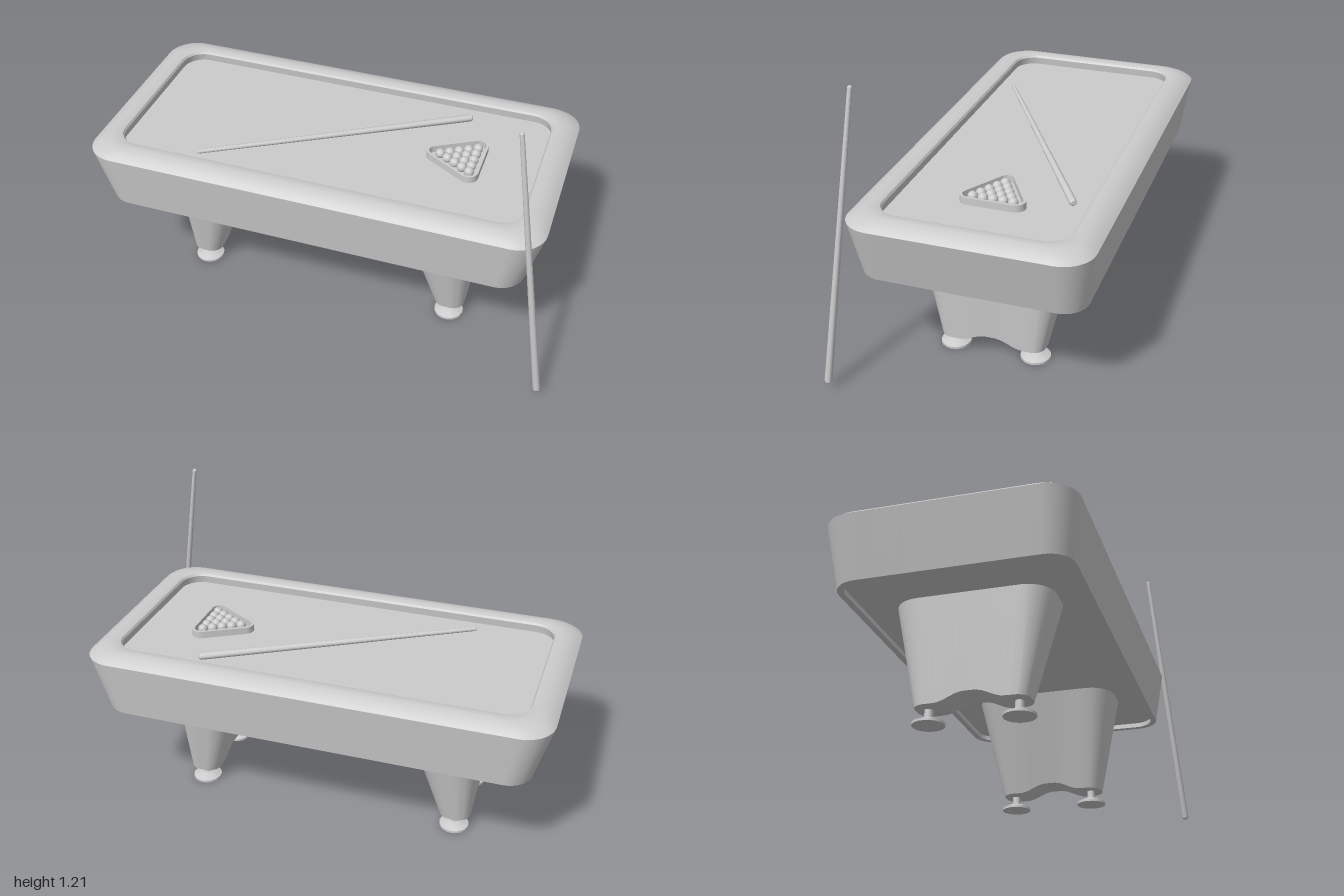
import * as THREE from 'three';
import { toCreasedNormals } from 'three/addons/utils/BufferGeometryUtils.js';

const MID = -0.0375; // table centre in x
const MIDZ = -0.034; // table centre in z
const BED = 0.682; // height of the playing surface
const material = new THREE.MeshStandardMaterial({ color: 0xcccccc });

function add(parent, name, geometry, x = 0, y = 0, z = 0) {
  const mesh = new THREE.Mesh(geometry, material);
  mesh.name = name;
  mesh.position.set(x, y, z);
  parent.add(mesh);
  return mesh;
}

// Points of a rounded rectangle, with extra points along its straight sides
function roundedRing(hx, hz, r, arc = 8, side = 14) {
  const points = [];
  const corners = [[1, 1], [-1, 1], [-1, -1], [1, -1]];
  corners.forEach(([sx, sz], c) => {
    for (let i = 0; i <= arc; i++) {
      const a = (c + i / arc) * Math.PI / 2;
      points.push([sx * (hx - r) + r * Math.cos(a), sz * (hz - r) + r * Math.sin(a)]);
    }
    const [nx, nz] = corners[(c + 1) % 4];
    const last = points[points.length - 1];
    const a = (c + 1) * Math.PI / 2;
    const next = [nx * (hx - r) + r * Math.cos(a), nz * (hz - r) + r * Math.sin(a)];
    for (let i = 1; i < side; i++) {
      const t = i / side;
      points.push([last[0] + (next[0] - last[0]) * t, last[1] + (next[1] - last[1]) * t]);
    }
  });
  return points;
}

// Skin over closed rings of [x, y, z] points
function loft(rings, crease = 0.5) {
  const n = rings[0].length;
  const index = [];
  for (let i = 0; i < rings.length - 1; i++) {
    for (let j = 0; j < n; j++) {
      const a = i * n + j, b = i * n + (j + 1) % n;
      index.push(a, a + n, b, b, a + n, b + n);
    }
  }
  const geometry = new THREE.BufferGeometry();
  geometry.setAttribute('position', new THREE.Float32BufferAttribute(rings.flat(2), 3));
  geometry.setIndex(index);
  return toCreasedNormals(geometry, crease);
}

// Cabinet, rail and bed as one profile: half x, half z, corner radius, height
function tableGeometry() {
  const profile = [
    [0, 0, 0, 0.475],
    [0.868, 0.423, 0.08, 0.475],
    [0.868, 0.423, 0.08, 0.455],
    [0.893, 0.448, 0.1, 0.455],
    [0.9625, 0.481, 0.125, 0.695],
    [0.947, 0.465, 0.12, 0.708],
    [0.925, 0.443, 0.115, 0.72],
    [0.9, 0.418, 0.11, 0.728],
    [0.875, 0.393, 0.1, 0.729],
    [0.858, 0.376, 0.095, 0.724],
    [0.852, 0.37, 0.09, 0.715],
    [0.856, 0.374, 0.09, BED],
    [0, 0, 0, BED],
  ];
  return loft(profile.map(([hx, hz, r, y]) => roundedRing(hx, hz, r).map(([x, z]) => [x, y, z])));
}

// Tapered leg, x measured from the table centre, with an arched underside
function legGeometry(side) {
  const section = (inner, outer, hz, r, y) => roundedRing((outer - inner) / 2, hz, r)
    .map(([x, z]) => [x + side * (inner + outer) / 2, y, z]);
  const bottom = section(0.503, 0.632, 0.22, 0.05, 0.06).map(([x, y, z]) => {
    const t = Math.min(1, Math.max(0, (Math.abs(z) - 0.02) / 0.115));
    return [x, y + 0.0175 * (1 + Math.cos(Math.PI * t)), z];
  });
  const spine = bottom.map(([, y, z]) => [side * 0.5675, y, z]);
  return loft([spine, bottom, section(0.365, 0.664, 0.311, 0.11, 0.48)]);
}

function lathe(points, segments = 24) {
  const profile = points.map(([r, y]) => new THREE.Vector2(r, y));
  return toCreasedNormals(new THREE.LatheGeometry(profile, segments), 0.5);
}

// Tapered stick from its thick end to its tip
function addCue(parent, name, butt, tip) {
  const from = new THREE.Vector3(...butt), to = new THREE.Vector3(...tip);
  const axis = to.clone().sub(from), length = axis.length();
  const geometry = lathe([
    [0, 0], [0.009, 0.002], [0.014, 0.007], [0.0155, 0.014],
    [0.009, length - 0.006], [0.006, length - 0.001], [0, length],
  ], 16);
  const cue = add(parent, name, geometry, ...butt);
  cue.quaternion.setFromUnitVectors(new THREE.Vector3(0, 1, 0), axis.normalize());
}

// Rounded triangle outline around the balls
function trianglePath(path, r) {
  const deg = Math.PI / 180;
  path.absarc(0.39, 0, r, 120 * deg, 240 * deg);
  path.absarc(0.55, -0.093, r, 240 * deg, 360 * deg);
  path.absarc(0.55, 0.093, r, 0, 120 * deg);
  path.closePath();
  return path;
}

export function createModel() {
  const model = new THREE.Group();
  model.name = 'poolTable';

  add(model, 'tableBody', tableGeometry(), MID, 0, MIDZ);

  // Legs, each on two round adjustable feet
  const foot = lathe([
    [0, 0], [0.062, 0], [0.062, 0.01], [0.03, 0.024], [0.017, 0.027], [0.016, 0.07], [0, 0.07],
  ]);
  for (const side of [-1, 1]) {
    const leg = new THREE.Group();
    leg.name = side < 0 ? 'rightLeg' : 'leftLeg';
    leg.position.set(MID, 0, -0.029);
    add(leg, 'legBody', legGeometry(side));
    for (const z of [-0.172, 0.172]) add(leg, 'foot', foot, side * 0.5675, 0, z);
    model.add(leg);
  }

  // One cue lying on the bed, one leaning on the corner
  addCue(model, 'lyingCue', [0.475, BED + 0.0155, -0.332], [-0.558, BED + 0.01, 0.27]);
  addCue(model, 'leaningCue', [0.984, 0.028, 0.495], [0.791, 1.207, 0.406]);

  // Triangle rack
  const outline = trianglePath(new THREE.Shape(), 0.04);
  outline.holes.push(trianglePath(new THREE.Path(), 0.029));
  const rack = new THREE.ExtrudeGeometry(outline, { depth: 0.03, bevelEnabled: false, curveSegments: 8 });
  rack.rotateX(Math.PI / 2);
  add(model, 'rack', toCreasedNormals(rack, 0.5), 0, BED + 0.031, MIDZ);

  // Fifteen balls in five rows
  const balls = new THREE.Group();
  balls.name = 'balls';
  const ball = new THREE.SphereGeometry(0.0205, 20, 14);
  for (let row = 0; row < 5; row++) {
    for (let i = 0; i <= row; i++) {
      add(balls, 'ball', ball, 0.407 + row * 0.0355, BED + 0.0205, MIDZ + (i - row / 2) * 0.041);
    }
  }
  model.add(balls);
  return model;
}
